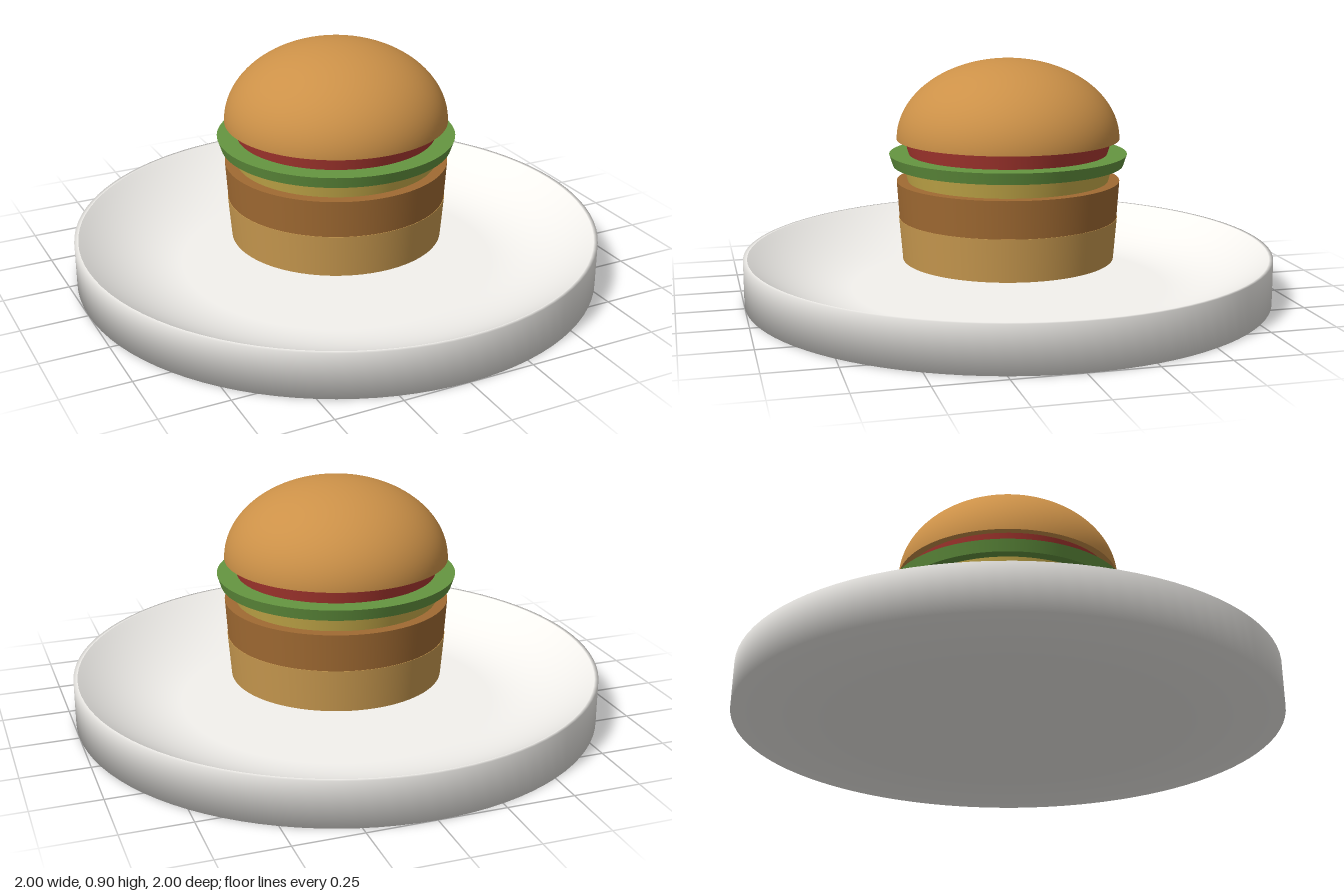
import * as THREE from 'three';

const SEGMENTS = 96;

function material(color) {
  return new THREE.MeshStandardMaterial({ color, side: THREE.DoubleSide });
}

function lathe(name, profile, color) {
  const points = profile.map(([r, y]) => new THREE.Vector2(r, y));
  const mesh = new THREE.Mesh(new THREE.LatheGeometry(points, SEGMENTS), material(color));
  mesh.name = name;
  return mesh;
}

// A round slice, wider at the top than at the bottom
function slice(name, bottomY, topY, bottomRadius, topRadius, color) {
  const height = topY - bottomY;
  const geometry = new THREE.CylinderGeometry(topRadius, bottomRadius, height, SEGMENTS);
  const mesh = new THREE.Mesh(geometry, material(color));
  mesh.position.y = bottomY + height / 2;
  mesh.name = name;
  return mesh;
}

function createPlate() {
  const plate = new THREE.Group();
  plate.name = 'plate';
  const color = 0xf4f2ee;

  // Underside ring, outer wall and narrow lip, rounded together by smooth normals
  plate.add(lathe('plateOuter', [[0.5, 0], [0.66, 0], [1, 0], [1, 0.17], [0.985, 0.17]], color));

  // Bowl: steep at the rim, easing into a flat floor
  const bowl = [];
  for (let i = 0; i <= 16; i++) {
    const t = 1 - i / 16;
    bowl.push([0.6 + 0.385 * t, 0.03 + 0.14 * t * t]);
  }
  bowl.push([0, 0.03]);
  plate.add(lathe('plateBowl', bowl, color));
  return plate;
}

function createTopBun() {
  const bun = new THREE.Group();
  bun.name = 'topBun';
  const color = 0xcc9148;

  // Squashed half sphere
  const dome = new THREE.Mesh(
    new THREE.SphereGeometry(0.42, SEGMENTS, 32, 0, Math.PI * 2, 0, Math.PI / 2),
    material(color)
  );
  dome.scale.y = 0.3 / 0.42;
  dome.name = 'bunDome';

  // Flat underside
  const base = new THREE.Mesh(new THREE.CircleGeometry(0.42, SEGMENTS), material(color));
  base.rotation.x = Math.PI / 2;
  base.name = 'bunUnderside';

  bun.add(dome, base);
  bun.position.y = 0.598;
  return bun;
}

export function createModel() {
  const model = new THREE.Group();
  model.name = 'burgerOnPlate';
  model.add(createPlate());

  // Stacked fillings from the bottom bun up
  const layers = [
    ['bottomBun', 0.14, 0.3, 0.402, 0.415, 0xc8994f],
    ['patty', 0.3, 0.44, 0.413, 0.422, 0xa06a32],
    ['cheese', 0.44, 0.5, 0.38, 0.395, 0xccb04c],
    ['lettuce', 0.5, 0.543, 0.435, 0.449, 0x659640],
    ['tomato', 0.543, 0.6, 0.375, 0.392, 0xb03a32],
  ];
  for (const layer of layers) model.add(slice(...layer));

  model.add(createTopBun());
  return model;
}
